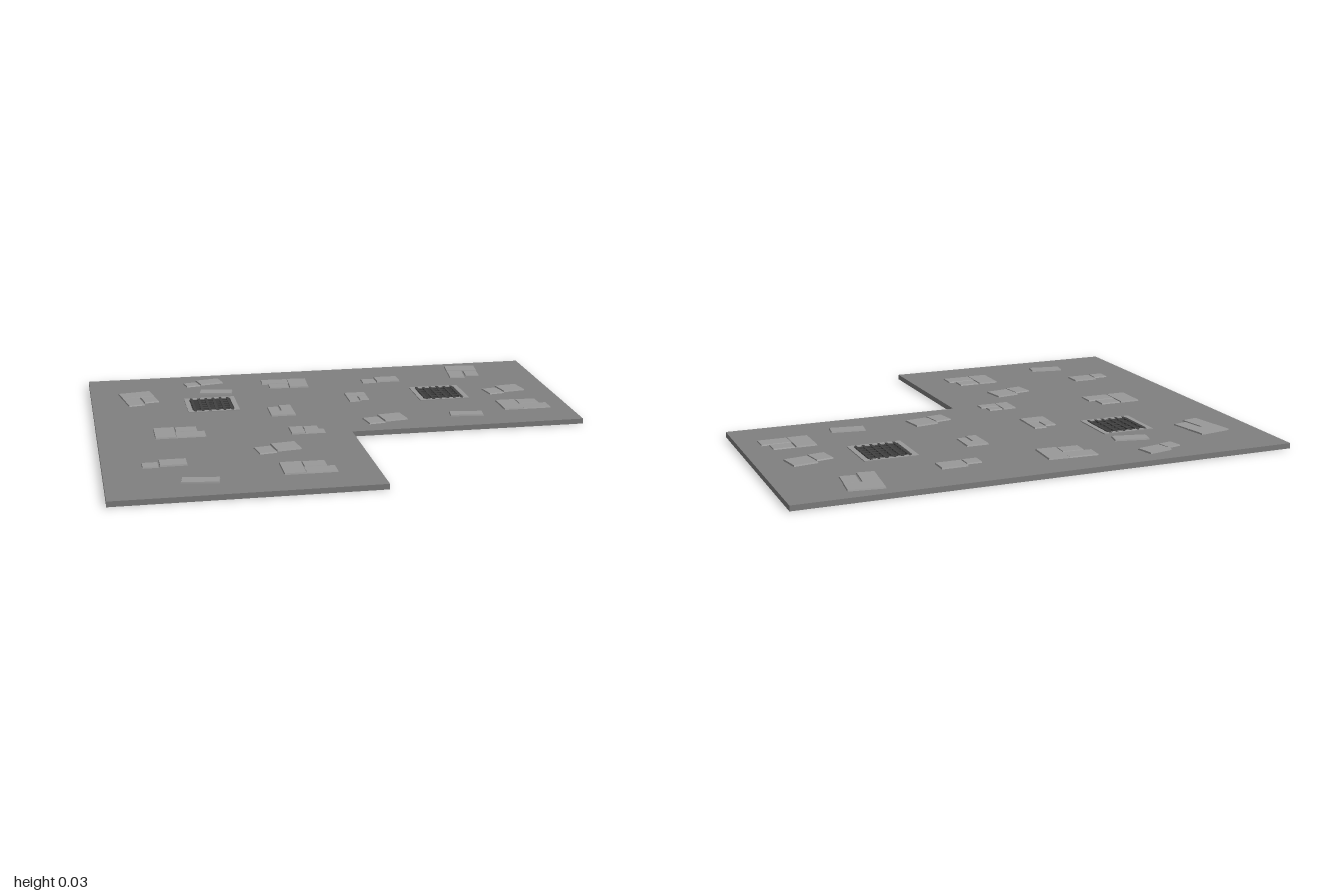
import * as THREE from 'three';

const PLATE_TOP = 0.021;
const material = (color) => new THREE.MeshStandardMaterial({ color, flatShading: true });
const groundMat = material(0x808080);
const slabMat = material(0x999999);
const ironMat = material(0x404040);

// Floor outline as [x, z]
const OUTLINE = [[-0.995, 0.83], [0.015, 0.83], [0.01, 0.165], [0.98, 0.165], [1, -0.83], [-1, -0.82]];
const GRATES = [[-0.5, -0.333], [0.495, -0.333]];

// Slab patterns, each slab as x, z, width, depth
const SINGLE = [[0, 0, 0.14, 0.06]];
const PAIR = [[0.04, -0.006, 0.1, 0.095], [-0.049, 0.012, 0.07, 0.085]];
const SMALL_PAIR = [[0.04, -0.008, 0.105, 0.075], [-0.047, 0.008, 0.062, 0.058]];
const TRIO = [[-0.06, 0, 0.085, 0.14], [0.028, -0.037, 0.088, 0.063], [0.04, 0.035, 0.12, 0.07]];

function floorLayer(name, bottom, top, holeHalf) {
  const shape = new THREE.Shape(OUTLINE.map(([x, z]) => new THREE.Vector2(x, -z)));
  if (holeHalf) {
    for (const [x, z] of GRATES) {
      const h = holeHalf;
      shape.holes.push(new THREE.Path([[-h, -h], [-h, h], [h, h], [h, -h]]
        .map(([a, b]) => new THREE.Vector2(x + a, -z + b))));
    }
  }
  const geo = new THREE.ExtrudeGeometry(shape, { depth: top - bottom, bevelEnabled: false });
  geo.rotateX(-Math.PI / 2).translate(0, bottom, 0);
  const mesh = new THREE.Mesh(geo, groundMat);
  mesh.name = name;
  return mesh;
}

function block(name, mat, w, h, d, x, y, z) {
  const mesh = new THREE.Mesh(new THREE.BoxGeometry(w, h, d), mat);
  mesh.position.set(x, y, z);
  mesh.name = name;
  return mesh;
}

// Slab whose top is pulled in a little to give sloping edges
function pavingSlab(x, z, w, d, height) {
  const mesh = block('pavingSlab', slabMat, w, height, d, x, PLATE_TOP + height / 2 - 0.001, z);
  const pos = mesh.geometry.attributes.position;
  for (let i = 0; i < pos.count; i++) {
    if (pos.getY(i) > 0) {
      pos.setX(i, pos.getX(i) - Math.sign(pos.getX(i)) * 0.002);
      pos.setZ(i, pos.getZ(i) - Math.sign(pos.getZ(i)) * 0.002);
    }
  }
  mesh.geometry.computeVertexNormals();
  return mesh;
}

function drainGrate(x, z) {
  const grate = new THREE.Group();
  grate.name = 'drainGrate';
  grate.position.set(x, 0, z);
  // Stone rim
  for (const s of [-1, 1]) {
    grate.add(block('rimSide', slabMat, 0.02, 0.005, 0.216, s * 0.098, 0.0225, 0));
    grate.add(block('rimEnd', slabMat, 0.176, 0.005, 0.02, 0, 0.0225, s * 0.098));
  }
  // Dark pit floor and crossed bars
  grate.add(block('pitFloor', ironMat, 0.18, 0.002, 0.18, 0, 0.013, 0));
  for (let i = 0; i < 6; i++) {
    const p = (i - 2.5) * 0.031;
    grate.add(block('longBar', ironMat, 0.011, 0.006, 0.2, p, 0.0225, 0));
    grate.add(block('crossBar', ironMat, 0.2, 0.005, 0.011, 0, 0.0215, p));
  }
  return grate;
}

export function createModel() {
  const model = new THREE.Group();
  model.name = 'pavedFloorCorner';
  model.add(floorLayer('floorBase', 0, 0.012, 0));
  model.add(floorLayer('floorSurface', 0.012, PLATE_TOP, 0.09));

  // Lays one pattern at x, z, turned by degrees
  function lay(pattern, x, z, turn, size = 1) {
    const cluster = new THREE.Group();
    cluster.name = 'slabCluster';
    pattern.forEach(([px, pz, w, d], i) => {
      cluster.add(pavingSlab(px * size, pz * size, w * size, d * size, i === 0 ? 0.007 : 0.006));
    });
    cluster.position.set(x, 0, z);
    cluster.rotation.y = THREE.MathUtils.degToRad(turn);
    model.add(cluster);
  }

  // Single slabs
  lay(SINGLE, -0.46, -0.527, -12);
  lay(SINGLE, 0.525, 0.01, -8);
  lay(SINGLE, -0.65, 0.667, -10);

  // Pairs
  lay(PAIR, 0.173, 0.014, 9);
  lay(PAIR, 0.782, -0.336, 9);
  lay(PAIR, -0.322, 0.332, 9);
  lay(SMALL_PAIR, -0.508, -0.687, 12);
  lay(SMALL_PAIR, 0.28, -0.592, 0);
  lay(SMALL_PAIR, -0.77, 0.45, 0);

  // Large groups of three
  lay(TRIO, 0.802, -0.09, 0);
  lay(TRIO, -0.67, 0.055, 0);
  lay(TRIO, -0.24, 0.59, 0);
  lay(TRIO, -0.145, -0.612, 177);
  lay(TRIO, -0.795, -0.477, -80);
  lay(TRIO, 0.69, -0.665, -97);

  // Small groups of three
  lay(TRIO, 0.13, -0.33, -90, 0.65);
  lay(TRIO, -0.165, 0.115, 0, 0.68);
  lay(TRIO, -0.225, -0.185, 90, 0.75);

  for (const [x, z] of GRATES) model.add(drainGrate(x, z));
  return model;
}
